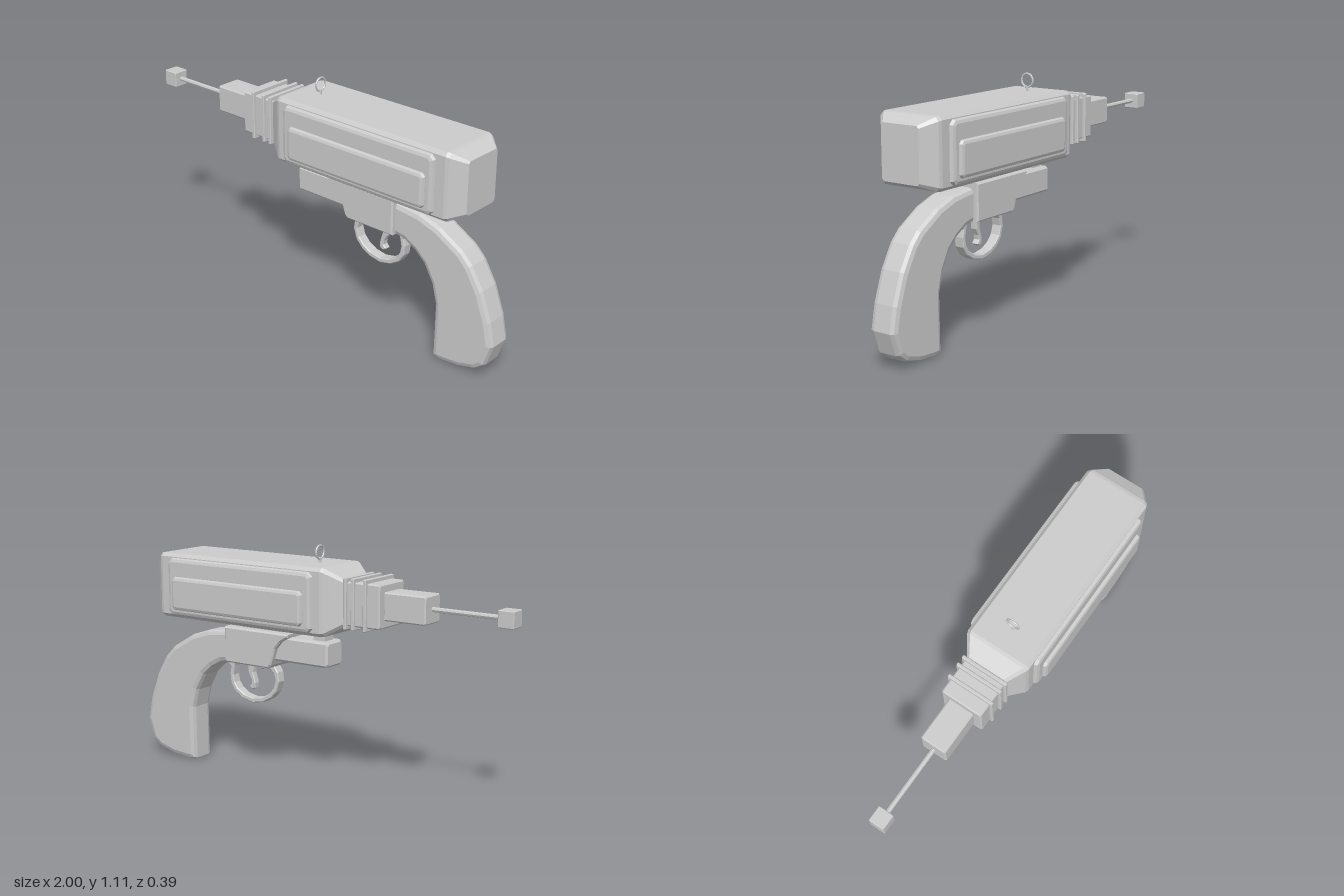
import * as THREE from 'three';

const material = new THREE.MeshStandardMaterial({ color: 0xcccccc, flatShading: true, side: THREE.DoubleSide });
const AXIS = 0.878; // height of the barrel axis

function add(group, name, geometry, x = 0, y = 0, z = 0) {
  const mesh = new THREE.Mesh(geometry, material);
  mesh.name = name;
  mesh.position.set(x, y, z);
  group.add(mesh);
  return mesh;
}

// Loft of chamfered rectangles along x; each section is [x, yMin, yMax, halfZ, chamfer]
function loft(sections) {
  const rings = sections.map(([x, y0, y1, w, c]) => [
    [y1, -w + c], [y1, w - c], [y1 - c, w], [y0 + c, w],
    [y0, w - c], [y0, -w + c], [y0 + c, -w], [y1 - c, -w],
  ].map(([y, z]) => [x, y, z]));
  const pos = [];
  const tri = (a, b, c) => pos.push(...a, ...b, ...c);
  for (let i = 0; i < rings.length - 1; i++) {
    for (let j = 0; j < 8; j++) {
      const k = (j + 1) % 8;
      tri(rings[i][j], rings[i][k], rings[i + 1][k]);
      tri(rings[i][j], rings[i + 1][k], rings[i + 1][j]);
    }
  }
  const first = rings[0], last = rings[rings.length - 1];
  for (let j = 1; j < 7; j++) {
    tri(first[0], first[j + 1], first[j]);
    tri(last[0], last[j], last[j + 1]);
  }
  const geometry = new THREE.BufferGeometry();
  geometry.setAttribute('position', new THREE.Float32BufferAttribute(pos, 3));
  geometry.computeVertexNormals();
  return geometry;
}

// Block along x with chamfered ends and edges
function block(x0, x1, y0, y1, w, b = 0.006) {
  return loft([
    [x0, y0 + b, y1 - b, w - b, b], [x0 + b, y0, y1, w, b],
    [x1 - b, y0, y1, w, b], [x1, y0 + b, y1 - b, w - b, b],
  ]);
}

// Side profile extruded symmetrically about z = 0, bevelled inside its outline
function slab(points, halfZ, bevel, segments = 1) {
  const shape = new THREE.Shape(points.map(([x, y]) => new THREE.Vector2(x, y)));
  const depth = 2 * (halfZ - bevel);
  const geometry = new THREE.ExtrudeGeometry(shape, {
    depth, bevelEnabled: bevel > 0, bevelSize: bevel, bevelThickness: bevel,
    bevelOffset: -bevel, bevelSegments: segments,
  });
  return geometry.translate(0, 0, -depth / 2);
}

// Rectangle outline with clipped corners
function plate(x0, x1, y0, y1, c) {
  return [[x0 + c, y0], [x1 - c, y0], [x1, y0 + c], [x1, y1 - c],
    [x1 - c, y1], [x0 + c, y1], [x0, y1 - c], [x0, y0 + c]];
}

export function createModel() {
  const model = new THREE.Group();
  model.name = 'rayGun';

  // Main housing with tapered ends
  add(model, 'housing', loft([
    [-0.21, 0.775, 0.98, 0.1, 0.012], [-0.135, 0.727, 1.027, 0.15, 0.016],
    [-0.12, 0.725, 1.03, 0.155, 0.016], [0.79, 0.725, 1.03, 0.155, 0.016],
    [0.805, 0.728, 1.027, 0.15, 0.016], [0.865, 0.755, 0.995, 0.097, 0.01],
  ]));

  // Stepped panels, showing on both sides of the housing
  add(model, 'sidePanels', slab(plate(-0.085, 0.745, 0.74, 1.01, 0.02), 0.175, 0.018, 2));
  add(model, 'innerSidePanels', slab(plate(-0.043, 0.71, 0.768, 0.925, 0.015), 0.193, 0.016, 2));

  // Barrel: core, cooling fins, muzzle, rod and tip
  add(model, 'barrelCore', block(-0.395, -0.2, 0.78, 0.975, 0.1));
  for (const x of [-0.325, -0.263, -0.223]) {
    add(model, 'coolingFin', block(x - 0.008, x + 0.008, 0.765, 0.993, 0.113, 0.003));
  }
  add(model, 'muzzle', block(-0.6, -0.39, 0.815, 0.94, 0.062));
  add(model, 'rod', new THREE.CylinderGeometry(0.011, 0.011, 0.35, 8).rotateZ(Math.PI / 2), -0.765, AXIS);
  add(model, 'tip', block(-1, -0.926, 0.841, 0.915, 0.037, 0.003));

  // Ring sight on a short stem
  add(model, 'sightRing', new THREE.TorusGeometry(0.03, 0.0045, 6, 20).rotateY(Math.PI / 2), -0.013, 1.077);
  add(model, 'sightStem', new THREE.CylinderGeometry(0.006, 0.006, 0.03, 6), -0.013, 1.036);

  // Lower rail and the posts joining it to the housing
  add(model, 'rail', block(-0.095, 0.3, 0.565, 0.682, 0.062, 0.01));
  add(model, 'frontPost', block(-0.065, 0, 0.67, 0.74, 0.035, 0.003));
  add(model, 'rearPost', block(0.16, 0.4, 0.68, 0.74, 0.048, 0.003));

  // Receiver with scooped front edge
  add(model, 'receiver', slab([
    [0.475, 0.53], [0.475, 0.7], [0.105, 0.7], [0.108, 0.685], [0.15, 0.66],
    [0.18, 0.625], [0.195, 0.575], [0.205, 0.545], [0.22, 0.53],
  ], 0.088, 0.007));

  // Curved grip
  add(model, 'grip', slab([
    [0.45, 0.53], [0.52, 0.518], [0.58, 0.485], [0.63, 0.44], [0.675, 0.36], [0.698, 0.27],
    [0.695, 0.012], [0.73, 0.004], [0.83, 0.012], [0.92, 0.035], [0.965, 0.07], [1, 0.17],
    [0.978, 0.28], [0.93, 0.41], [0.87, 0.51], [0.82, 0.56], [0.7, 0.63], [0.6, 0.663], [0.45, 0.68],
  ], 0.066, 0.024, 2));

  // Trigger guard: open loop with a flat band section
  add(model, 'triggerGuard', slab([
    [0.235, 0.535], [0.212, 0.5], [0.205, 0.455], [0.222, 0.405], [0.255, 0.37], [0.3, 0.346],
    [0.36, 0.335], [0.42, 0.348], [0.465, 0.375], [0.492, 0.415], [0.497, 0.46], [0.49, 0.495],
    [0.515, 0.52], [0.49, 0.54], [0.455, 0.535],
    [0.468, 0.5], [0.477, 0.455], [0.47, 0.42], [0.45, 0.392], [0.41, 0.368],
    [0.36, 0.358], [0.305, 0.368], [0.265, 0.39], [0.238, 0.42], [0.226, 0.46],
    [0.235, 0.495], [0.255, 0.51], [0.315, 0.505], [0.315, 0.535],
  ], 0.024, 0.004));

  // Hooked trigger
  add(model, 'trigger', slab([
    [0.36, 0.54], [0.365, 0.48], [0.35, 0.43], [0.352, 0.405], [0.37, 0.397], [0.386, 0.408],
    [0.372, 0.425], [0.375, 0.445], [0.392, 0.475], [0.395, 0.54],
  ], 0.016, 0.004));

  return model;
}
